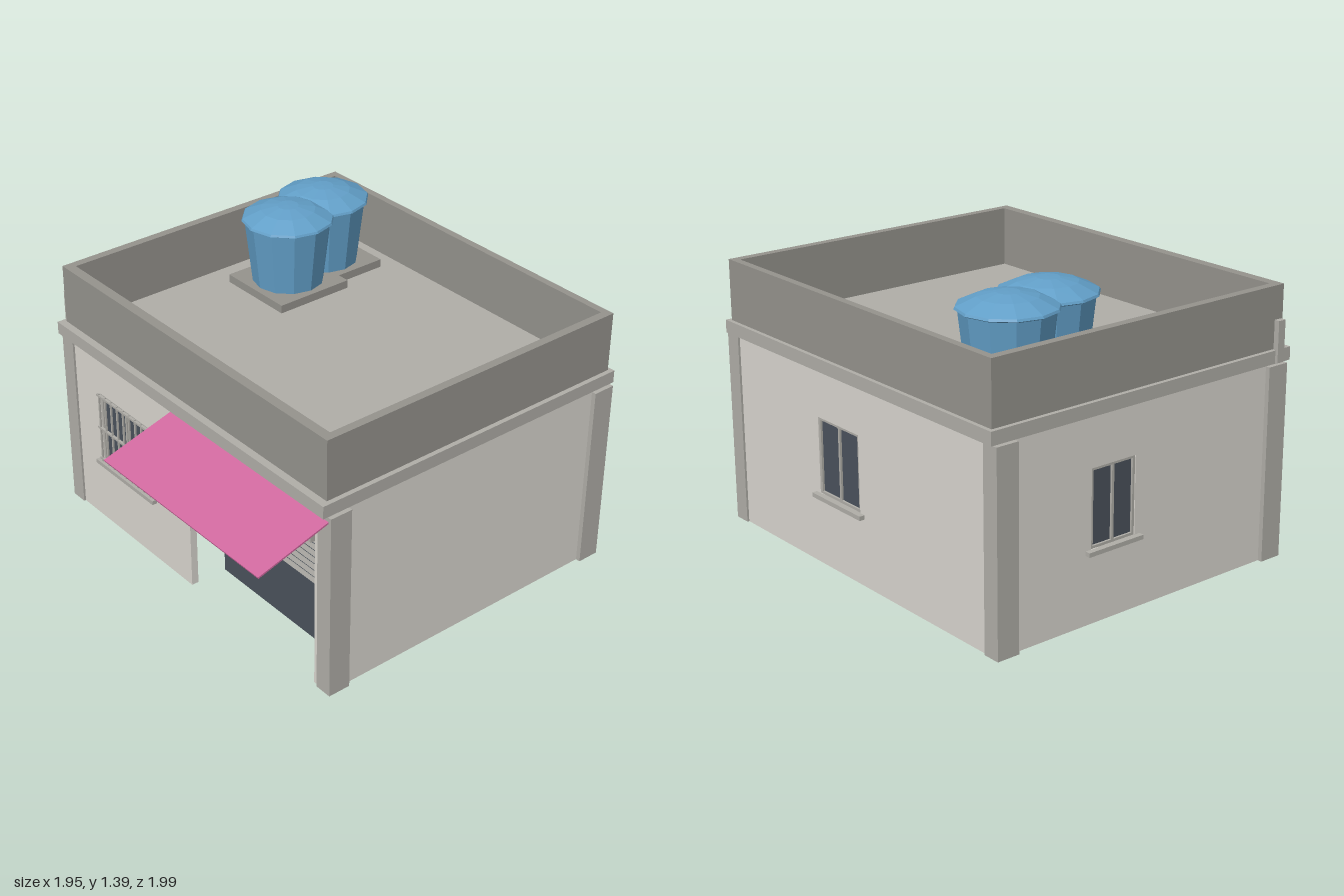
import * as THREE from 'three';

const mat = (color, extra = {}) => new THREE.MeshStandardMaterial({ color, ...extra });
const M = {
  wall: mat(0xd9d6cf),
  trim: mat(0xb0aea8),
  parapet: mat(0x95938d),
  dark: mat(0x4a525c, { side: THREE.DoubleSide }),
  pink: mat(0xd0699f, { side: THREE.DoubleSide }),
  tank: mat(0x629fc8, { flatShading: true, side: THREE.DoubleSide }),
};
const CZ = -0.17; // centre of the house in z
const T = 0.035; // wall thickness

// Box given by its min and max on each axis
function box(parent, name, m, x0, x1, y0, y1, z0, z1) {
  const mesh = new THREE.Mesh(new THREE.BoxGeometry(x1 - x0, y1 - y0, z1 - z0), m);
  mesh.position.set((x0 + x1) / 2, (y0 + y1) / 2, (z0 + z1) / 2);
  mesh.name = name;
  parent.add(mesh);
  return mesh;
}

const rect = (C, x0, x1, y0, y1) => new C([
  [x0, y0], [x1, y0], [x1, y1], [x0, y1],
].map(([x, y]) => new THREE.Vector2(x, y)));

// Prism of a shape, its front at local z = 0
function extrude(parent, name, m, shape, depth) {
  const geo = new THREE.ExtrudeGeometry(shape, { depth, bevelEnabled: false }).translate(0, 0, -depth);
  const mesh = new THREE.Mesh(geo, m);
  mesh.name = name;
  parent.add(mesh);
  return mesh;
}

// Window in wall coordinates: frame, two panes and sill
function addWindow(wall, x0, x1, y0, y1) {
  const w = new THREE.Group();
  w.name = 'window';
  const frame = rect(THREE.Shape, x0, x1, y0, y1);
  const f = 0.012, mid = (x0 + x1) / 2;
  frame.holes.push(rect(THREE.Path, x0 + f, mid - f / 2, y0 + f, y1 - f));
  frame.holes.push(rect(THREE.Path, mid + f / 2, x1 - f, y0 + f, y1 - f));
  extrude(w, 'windowFrame', M.trim, frame, T - 0.008).position.z = -0.004;
  box(w, 'windowGlass', M.dark, x0 + 0.005, x1 - 0.005, y0 + 0.005, y1 - 0.005, -0.02, -0.014);
  box(w, 'windowSill', M.trim, x0 - 0.03, x1 + 0.03, y0 - 0.02, y0, -T + 0.005, 0.025);
  wall.add(w);
  return w;
}

// Wall with window openings, outer face pointing along local +z
function addWall(house, name, halfWidth, distance, angle, shape, windows) {
  const g = new THREE.Group();
  g.name = name;
  for (const w of windows) {
    shape.holes.push(rect(THREE.Path, ...w));
    addWindow(g, ...w);
  }
  extrude(g, name + 'Panel', M.wall, shape, T);
  g.rotation.y = angle;
  g.position.set(Math.sin(angle) * distance, 0, CZ + Math.cos(angle) * distance);
  house.add(g);
  return g;
}

function waterTank(x, z) {
  const g = new THREE.Group();
  g.name = 'waterTank';
  box(g, 'tankBase', M.parapet, -0.2, 0.2, 0.975, 1.015, -0.2, 0.2);
  const lathe = (name, pts) => {
    const geo = new THREE.LatheGeometry(pts.map(p => new THREE.Vector2(...p)), 12);
    const mesh = new THREE.Mesh(geo, M.tank);
    mesh.name = name;
    g.add(mesh);
  };
  lathe('tankBody', [[0, 1.015], [0.17, 1.015], [0.205, 1.325]]);
  lathe('tankLid', [[0.2, 1.32], [0.22, 1.33], [0.215, 1.34], [0.13, 1.378], [0.05, 1.394], [0, 1.395]]);
  g.position.set(x, 0, z);
  return g;
}

export function createModel() {
  const house = new THREE.Group();
  house.name = 'house';
  const H = 0.915, HX = 0.95, HZ = 0.80;
  const DX0 = -0.015, DX1 = 0.86, DH = 0.82;

  // Front wall wraps around the garage opening
  const frontShape = new THREE.Shape([
    [-HX, 0], [DX0, 0], [DX0, DH], [DX1, DH], [DX1, 0], [HX, 0], [HX, H], [-HX, H],
  ].map(p => new THREE.Vector2(...p)));
  const plain = hw => rect(THREE.Shape, -hw, hw, 0, H);
  const front = addWall(house, 'frontWall', HX, HZ, 0, frontShape, [[-0.695, -0.3, 0.335, 0.7]]);
  addWall(house, 'backWall', HX, HZ, Math.PI, plain(HX), [[-0.27, 0.03, 0.335, 0.69]]);
  const side = HZ - T;
  addWall(house, 'leftWall', side, HX, Math.PI / 2, plain(side), []);
  addWall(house, 'rightWall', side, HX, -Math.PI / 2, plain(side), [[-0.3, -0.06, 0.335, 0.69]]);

  // Grille over the front window
  const grille = new THREE.Group();
  grille.name = 'windowGrille';
  for (let i = 0; i < 9; i++) {
    const x = -0.69 + i * 0.048;
    box(grille, 'grilleBar', M.trim, x - 0.004, x + 0.004, 0.335, 0.705, 0.006, 0.014);
  }
  for (const y of [0.35, 0.52, 0.695])
    box(grille, 'grilleRail', M.trim, -0.705, -0.293, y - 0.005, y + 0.005, 0.004, 0.016);
  front.add(grille);

  // Corner pillars, L-shaped around the wall corners
  for (const sx of [-1, 1]) for (const sz of [-1, 1]) {
    const pts = [[0.972, 0.81], [0.972, 0.70], [HX - 0.005, 0.70], [HX - 0.005, HZ - 0.005],
      [0.888, HZ - 0.005], [0.888, 0.81]];
    // shape y maps to -z after laying the prism upright
    const shape = new THREE.Shape(pts.map(([x, z]) => new THREE.Vector2(sx * x, -sz * z)));
    const pillar = extrude(house, 'cornerPillar', M.trim, shape, H - 0.005);
    pillar.rotation.x = -Math.PI / 2;
    pillar.position.set(0, H - 0.005, CZ);
  }

  // Roof slab and parapet
  box(house, 'roofSlab', M.trim, -0.96, 0.957, H, 0.975, -0.997, 0.668);
  const ring = rect(THREE.Shape, -0.94, 0.935, -0.632, 0.978);
  ring.holes.push(rect(THREE.Path, -0.9, 0.895, -0.585, 0.943));
  const parapet = extrude(house, 'parapet', M.parapet, ring, 0.285);
  parapet.rotation.x = -Math.PI / 2;
  parapet.position.y = 1.26;

  // Garage: lintel, louvre slats and recessed door
  box(house, 'garageLintel', M.trim, DX0, DX1, 0.74, DH, 0.6, 0.652);
  for (let i = 0; i < 7; i++) {
    const y = 0.516 + i * 0.034;
    const slat = box(house, 'garageSlat', M.trim, DX0, DX1, y - 0.01, y + 0.01, 0.608, 0.614);
    slat.rotation.x = -0.25;
  }
  box(house, 'garageDoor', M.dark, DX0, DX1, 0, 0.505, 0.435, 0.443);

  // Sloping awning
  const awning = box(house, 'awning', M.pink, -0.112, 0.957, 0.83, 0.838, 0.629, 1.003);
  awning.rotation.x = Math.atan2(0.105, 0.36);

  // Service post on the roof edge
  box(house, 'servicePost', M.trim, -0.974, -0.948, 0.92, 1.11, 0.575, 0.615);

  house.add(waterTank(-0.635, -0.645), waterTank(-0.572, -0.382));
  return house;
}
